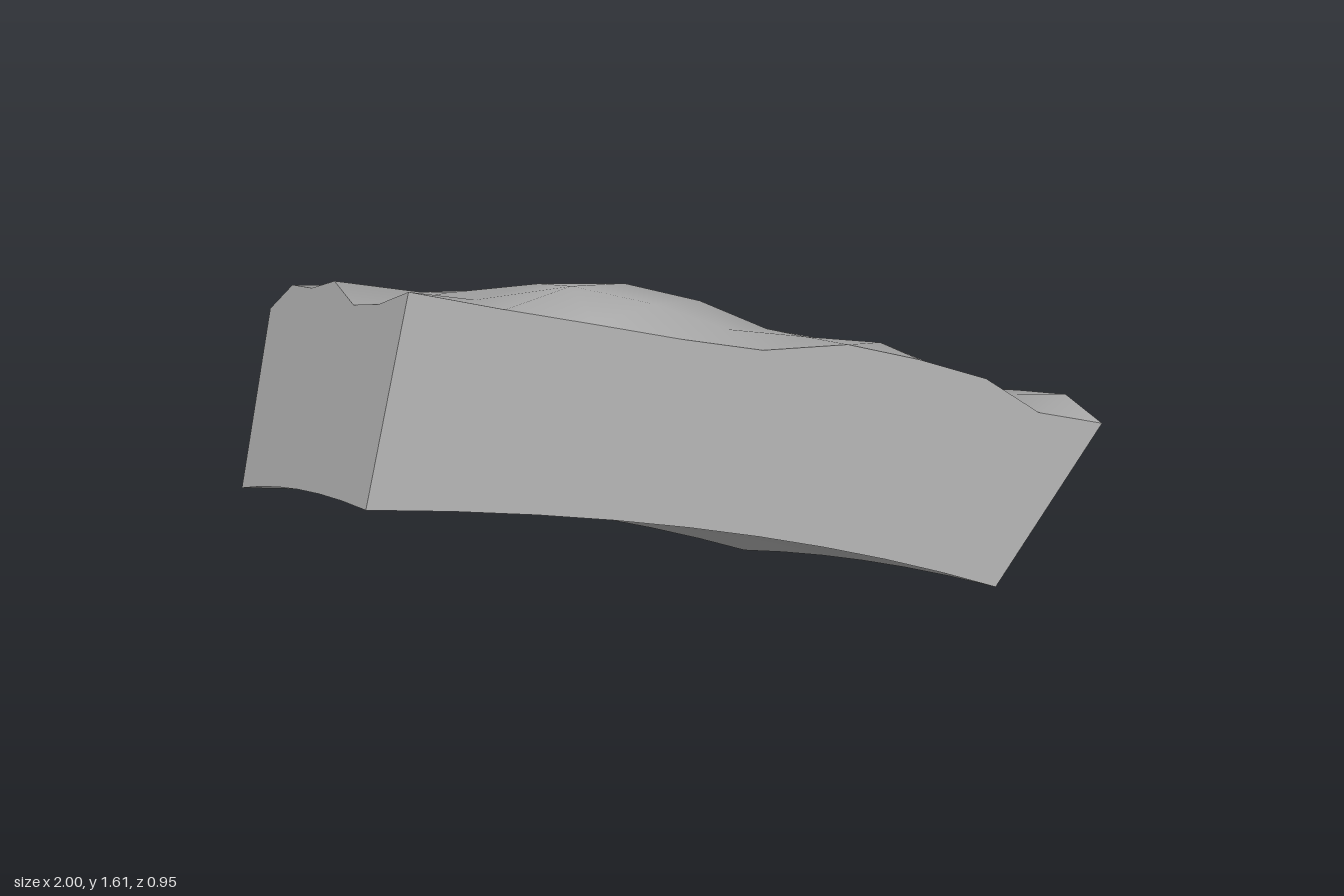
import * as THREE from 'three';

// Terrain thickness above the curved base: rows run back to front, columns from -x to +x
const HEIGHTS = [
  [.526, .534, .561, .536, .575, .627, .608, .547, .535, .595],
  [.566, .58, .55, .55, .60, .62, .575, .59, .55, .57],
  [.538, .53, .54, .57, .61, .59, .55, .595, .535, .517],
  [.541, .53, .56, .585, .60, .57, .56, .585, .53, .533],
  [.475, .52, .565, .595, .585, .55, .56, .55, .53, .583],
  [.474, .50, .555, .54, .51, .53, .56, .54, .52, .58],
  [.503, .48, .467, .459, .464, .517, .522, .521, .48, .509],
];
const COLS = 9, ROWS = 6;
const CENTER = new THREE.Vector3(-2.57, -5.2, 3.44); // centre of the large sphere
const RADIUS_SQ = 51.69;

// Point on the base sphere, optionally lifted to the terrain (t = 1)
function point(col, row, t) {
  const angle = THREE.MathUtils.lerp(.2634, .5306, col / COLS);
  const z = THREE.MathUtils.lerp(-.475, .475, row / ROWS);
  const r = Math.sqrt(RADIUS_SQ - (z - CENTER.z) ** 2) + t * HEIGHTS[row][col];
  return [CENTER.x + r * Math.sin(angle), CENTER.y + r * Math.cos(angle), z];
}

// Grid surface whose front side faces v cross u
function surface(nu, nv, at) {
  const positions = [], index = [];
  for (let v = 0; v <= nv; v++) {
    for (let u = 0; u <= nu; u++) {
      positions.push(...at(u, v));
      if (u < nu && v < nv) {
        const a = v * (nu + 1) + u, b = a + nu + 1;
        index.push(a, b, a + 1, a + 1, b, b + 1);
      }
    }
  }
  const geometry = new THREE.BufferGeometry();
  geometry.setAttribute('position', new THREE.Float32BufferAttribute(positions, 3));
  geometry.setIndex(index);
  geometry.computeVertexNormals();
  return geometry;
}

export function createModel() {
  const group = new THREE.Group();
  group.name = 'terrainBlock';
  const stone = new THREE.MeshStandardMaterial({ color: 0xb8b8b8 });
  stone.name = 'grey stone';

  const add = (name, nu, nv, at) => {
    const mesh = new THREE.Mesh(surface(nu, nv, at), stone);
    mesh.name = name;
    group.add(mesh);
  };

  // Rolling top and curved underside
  add('terrainTop', COLS, ROWS, (u, v) => point(u, v, 1));
  add('underside', ROWS, COLS, (u, v) => point(v, u, 0));

  // Flat cut walls
  add('frontWall', 1, COLS, (u, v) => point(v, ROWS, u));
  add('backWall', COLS, 1, (u, v) => point(u, 0, v));
  add('leftWall', ROWS, 1, (u, v) => point(COLS, u, v));
  add('rightWall', 1, ROWS, (u, v) => point(0, v, u));
  return group;
}
